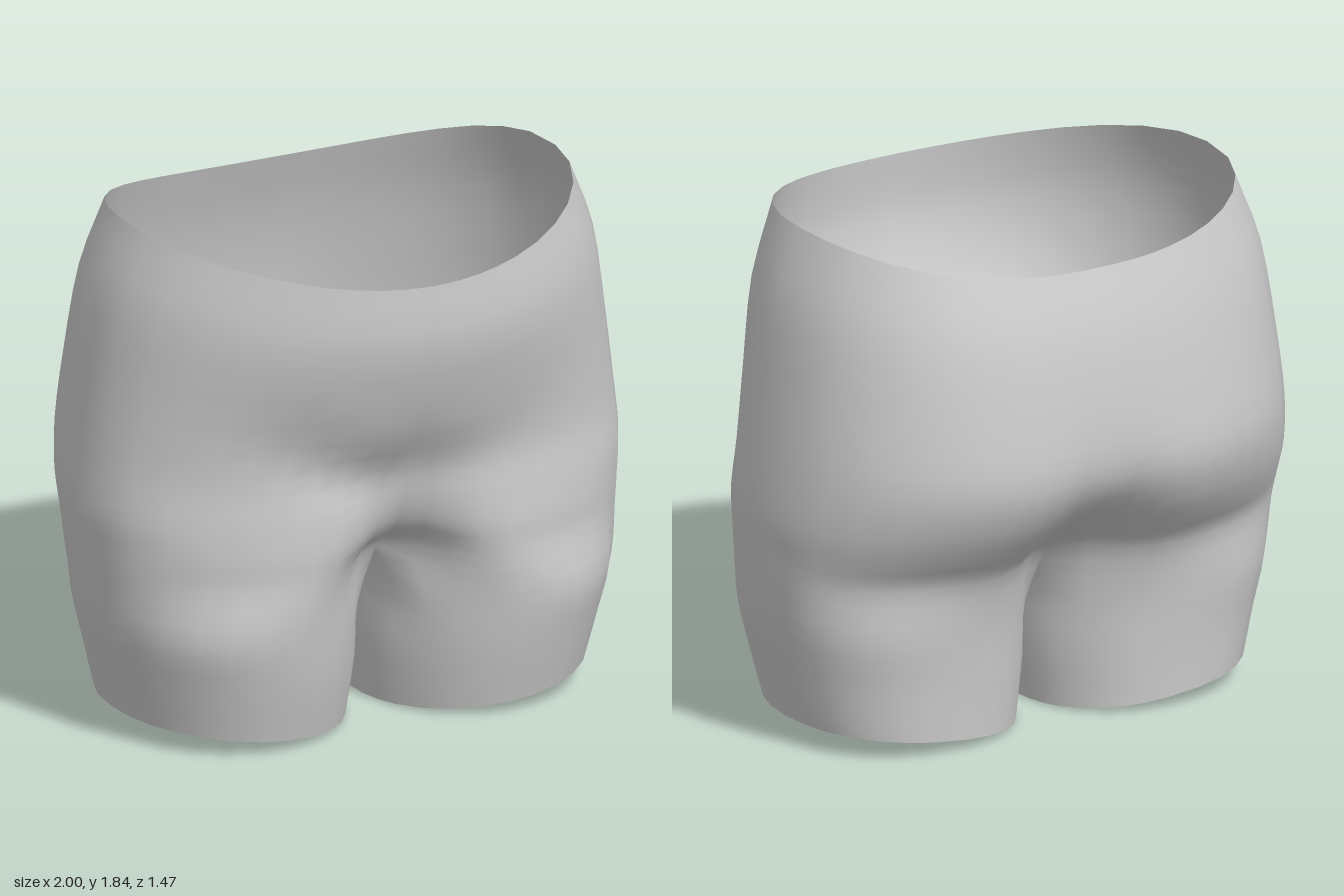
import * as THREE from 'three';
import { mergeVertices } from 'three/addons/utils/BufferGeometryUtils.js';

const OUTER = 22; // segments from centre front around the hip to centre back
const INNER = 6;  // segments along the inside of a leg
const STEPS = 3;  // rows between two key sections

// Torso sections: height, rise at the side, half width, front depth,
// centre-front hollow, back depth, centre-back hollow, front and back roundness
const torso = [
  [1.72, 0.12, 0.815, 0.73, 0, 0.595, 0, 1.03, 0.84],
  [1.48, 0.12, 0.905, 0.735, 0, 0.67, 0, 1.03, 0.86],
  [1.2, 0.08, 0.955, 0.65, 0, 0.725, 0.01, 0.98, 0.86],
  [1.0, 0.03, 0.985, 0.585, 0.045, 0.745, 0.04, 0.92, 0.86],
  [0.85, 0, 1.0, 0.585, 0.09, 0.69, 0.09, 0.88, 0.86],
  [0.73, 0, 0.99, 0.595, 0.17, 0.6, 0.16, 0.87, 0.82],
  [0.62, 0, 0.98, 0.595, 0.31, 0.51, 0.22, 0.86, 0.77],
];
// Leg sections: height, rise at the outside, inner x, outer x, front, back
const legs = [
  [0.42, 0.02, 0.007, 0.955, 0.55, 0.45],
  [0.22, 0.045, 0.014, 0.915, 0.515, 0.43],
  [0.0, 0.085, 0.04, 0.87, 0.465, 0.42],
];
const CROTCH = (torso.length - 1) * STEPS;

const power = (v, p) => Math.sign(v) * Math.pow(Math.abs(v), p);

function torsoPoint([y, rise, w, front, hollowF, back, hollowB, pf, pb], u) {
  const a = Math.PI * u - 0.26 * Math.sin(2 * Math.PI * u);
  const s = Math.max(0, Math.sin(a)), c = Math.cos(a);
  const x = w * Math.pow(s, c > 0 ? pf : pb);
  const dent = Math.exp(-((x / 0.2) ** 2));
  const z = c > 0
    ? front * power(c, pf) - hollowF * dent
    : back * power(c, pb) + hollowB * dent;
  return new THREE.Vector3(x, y + rise * s * s, z);
}

function legPoint([y, rise, xi, xo, front, back], u) {
  const a = (-60 + 300 * u) * Math.PI / 180;
  const p = Math.cos(a) > 0 ? 0.98 : 0.88;
  const s = power(Math.sin(a), p), c = power(Math.cos(a), p);
  return new THREE.Vector3(
    (xi + xo) / 2 + s * (xo - xi) / 2, y + rise * (s + 1) / 2, c * (c > 0 ? front : back));
}

// One column of the surface, from the waist (or the crotch seam) to the hem
function column(j) {
  const keys = [];
  if (j <= OUTER) {
    torso.forEach((t) => keys.push(torsoPoint(t, j / OUTER)));
    legs.forEach((l) => keys.push(legPoint(l, j / OUTER)));
  } else {
    const k = (j - OUTER) / INNER, base = torso[torso.length - 1];
    const seam = torsoPoint(base, 1).lerp(torsoPoint(base, 0), k);
    seam.x = 0;
    seam.y -= 0.03 * Math.sin(Math.PI * k);
    keys.push(seam);
    legs.forEach((l) => keys.push(legPoint(l, 1 + k * 0.2)));
  }
  const points = new THREE.CatmullRomCurve3(keys, false, 'catmullrom', 0.5)
    .getPoints((keys.length - 1) * STEPS);
  const start = j <= OUTER ? 0 : CROTCH;
  points.forEach((p, i) => {
    p.x = Math.max(0, p.x);
    if ((j === 0 || j === OUTER) && start + i <= CROTCH) p.x = 0;
  });
  return { start, points };
}

// Diagonal groin fold in the front, deeper on the right side
function fold(p, side) {
  if (p.z < 0.2) return 0;
  const d = p.y - (0.87 + 0.57 * p.x);
  const fade = THREE.MathUtils.smoothstep(p.x, 0, 0.15)
    * (1 - THREE.MathUtils.smoothstep(p.x, 0.4, 0.75));
  return (side < 0 ? 0.035 : 0.008) * fade * Math.exp(-((d / 0.1) ** 2));
}

function createShortsGeometry() {
  const position = [], index = [];
  const columns = Array.from({ length: OUTER + INNER }, (_, j) => column(j));
  const rows = columns[0].points.length;
  for (const side of [1, -1]) {
    const ids = columns.map(({ start, points }) => {
      const col = [];
      points.forEach((p, i) => {
        col[start + i] = position.length / 3;
        position.push(side * p.x, p.y, p.z - fold(p, side));
      });
      return col;
    });
    for (let j = 0; j < OUTER + INNER; j++) {
      const A = ids[j], B = ids[(j + 1) % ids.length];
      for (let i = j < OUTER ? 0 : CROTCH; i < rows - 1; i++) {
        const [a, b, c, d] = [A[i], A[i + 1], B[i + 1], B[i]];
        if (side > 0) index.push(a, b, c, a, c, d);
        else index.push(a, c, b, a, d, c);
      }
    }
  }
  const geometry = new THREE.BufferGeometry();
  geometry.setAttribute('position', new THREE.Float32BufferAttribute(position, 3));
  geometry.setIndex(index);
  const welded = mergeVertices(geometry, 1e-4);
  welded.computeVertexNormals();
  return welded;
}

export function createModel() {
  const group = new THREE.Group();
  group.name = 'garment';
  const shorts = new THREE.Mesh(
    createShortsGeometry(),
    new THREE.MeshStandardMaterial({ color: 0xcccccc, side: THREE.DoubleSide }));
  shorts.name = 'shorts';
  group.add(shorts);
  return group;
}
